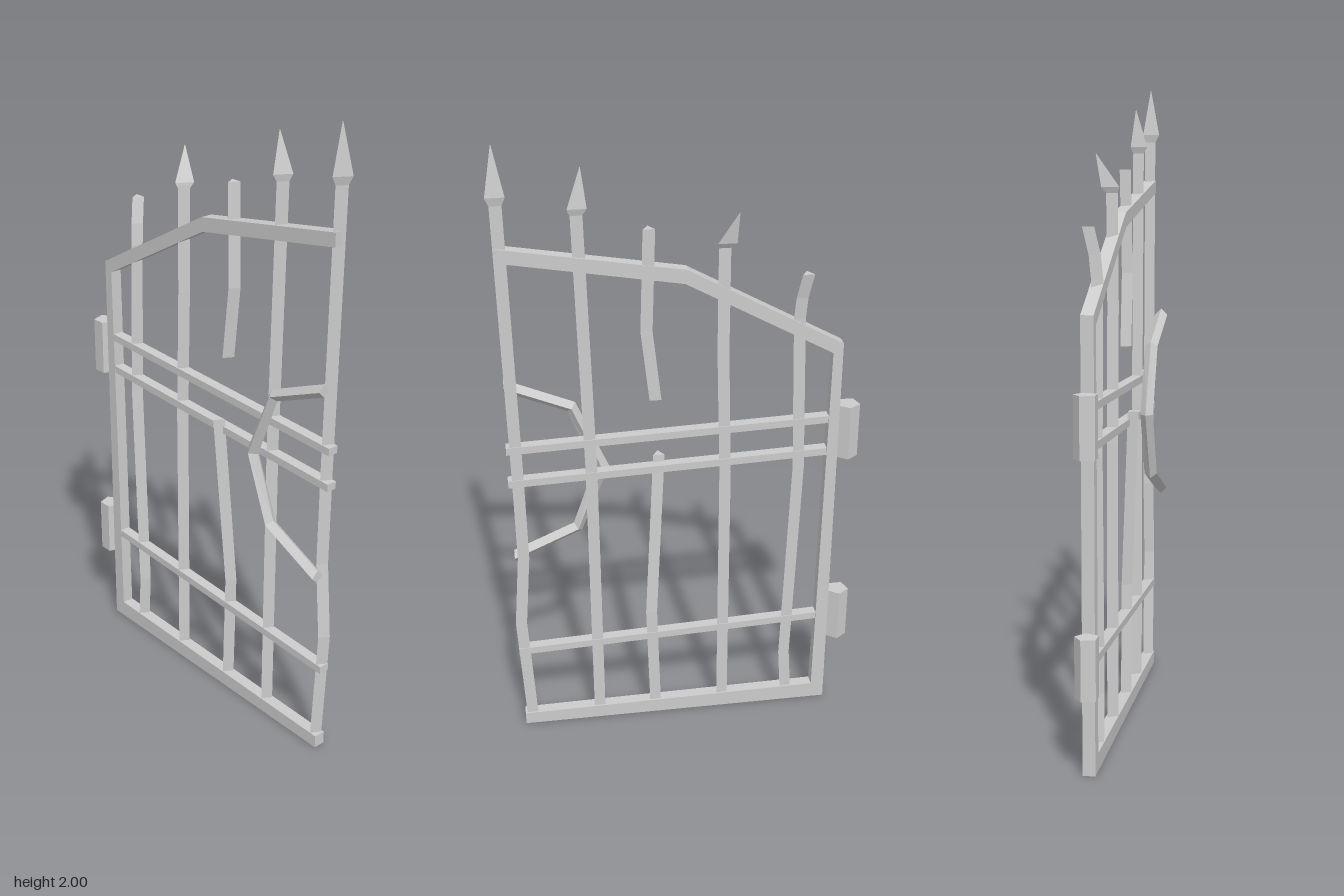
import * as THREE from 'three';

const material = new THREE.MeshStandardMaterial({ color: 0xcccccc, flatShading: true });

// Flat bar: an outline in the xy plane, given thickness in z
function plate(name, outline, z0, z1) {
  const shape = new THREE.Shape(outline.map(([x, y]) => new THREE.Vector2(x, y)));
  const geo = new THREE.ExtrudeGeometry(shape, { depth: z1 - z0, bevelEnabled: false });
  geo.translate(0, 0, z0);
  const mesh = new THREE.Mesh(geo, material);
  mesh.name = name;
  return mesh;
}

// Faceted rod: each station is { p: [x, y, z], r: radius, u: [x, y] side direction }
function sweep(name, sides, stations) {
  const pos = [], index = [];
  for (const { p, r, u = [1, 0] } of stations) {
    for (let j = 0; j < sides; j++) {
      const a = (j / sides) * Math.PI * 2;
      const s = Math.sin(a) * r;
      pos.push(p[0] + u[0] * s, p[1] + u[1] * s, p[2] + Math.cos(a) * r);
    }
  }
  const last = (stations.length - 1) * sides;
  for (let i = 0; i < last; i += sides) {
    for (let j = 0; j < sides; j++) {
      const a = i + j, b = i + ((j + 1) % sides);
      index.push(a, b, a + sides, b, b + sides, a + sides);
    }
  }
  for (let j = 1; j < sides - 1; j++) {
    index.push(0, j + 1, j, last, last + j, last + j + 1);
  }
  const indexed = new THREE.BufferGeometry();
  indexed.setAttribute('position', new THREE.Float32BufferAttribute(pos, 3));
  indexed.setIndex(index);
  const geo = indexed.toNonIndexed();
  geo.computeVertexNormals();
  const mesh = new THREE.Mesh(geo, material);
  mesh.name = name;
  return mesh;
}

const rod = (name, points) =>
  sweep(name, 3, points.map(([x, y, z = -0.01]) => ({ p: [x, y, z], r: 0.021 })));

// Spear head: flares from the rod, then tapers to its tip
function spike(base, tip) {
  const at = (t) => base.map((v, i) => v + (tip[i] - v) * t);
  return sweep('spearHead', 3, [
    { p: base, r: 0.021 },
    { p: at(0.15), r: 0.033 },
    { p: tip, r: 0.001 },
  ]);
}

export function createModel() {
  const gate = new THREE.Group();
  gate.name = 'brokenGate';

  // Outer frame: bottom bar, hinge post and sloping top, open on the latch side
  gate.add(plate('frame', [
    [0.535, 0], [0.535, 0.042], [-0.447, 0.055], [-0.463, 1.312],
    [-0.008, 1.566], [0.537, 1.662], [0.537, 1.704], [-0.013, 1.61],
    [-0.494, 1.342], [-0.49, 0],
  ], -0.026, 0.012));

  // Sagging cross rails
  for (const [left, right] of [[1.083, 1.049], [0.969, 0.933], [0.34, 0.297]]) {
    gate.add(plate('crossRail', [
      [-0.465, left - 0.012], [0.543, right - 0.012],
      [0.543, right + 0.012], [-0.465, left + 0.012],
    ], -0.023, 0.011));
  }

  // Bent upright rods
  gate.add(
    rod('bluntRod', [[-0.357, 0.04], [-0.347, 0.2], [-0.37, 0.92], [-0.355, 1.43],
      [-0.359, 1.5, -0.016], [-0.372, 1.58, -0.032]]),
    rod('secondRod', [[-0.135, 0.04], [-0.135, 0.92], [-0.124, 1.34], [-0.124, 1.68, -0.013]]),
    rod('brokenRodLower', [[0.093, 0.04], [0.103, 0.41], [0.071, 0.985, 0.016]]),
    rod('brokenRodUpper', [[0.083, 1.19], [0.108, 1.42], [0.098, 1.74, -0.015]]),
    rod('fourthRod', [[0.283, 0.04], [0.285, 0.97], [0.304, 1.81]]),
    rod('latchRod', [[0.51, 0.03], [0.53, 0.41], [0.51, 0.66], [0.513, 0.97], [0.528, 1.84]]),
  );

  // Spear heads
  gate.add(
    spike([-0.124, 1.67, -0.013], [-0.161, 1.785, -0.05]),
    spike([0.304, 1.79, -0.01], [0.288, 1.928, -0.012]),
    spike([0.528, 1.83, -0.01], [0.53, 2, -0.005]),
  );

  // Angled latch guard on the front, diamond in section
  gate.add(sweep('latchGuard', 4, [
    { p: [0.537, 1.247, 0.032], r: 0.021, u: [0, 1] },
    { p: [0.336, 1.162, 0.032], r: 0.021, u: [-0.6, 0.7] },
    { p: [0.248, 0.945, 0.032], r: 0.021, u: [-1.12, 0] },
    { p: [0.33, 0.732, 0.032], r: 0.021, u: [-0.6, -0.7] },
    { p: [0.537, 0.64, 0.032], r: 0.021, u: [0, -1] },
  ]));

  // Five-sided hinge barrels
  for (const y of [0.34, 1.035]) {
    const hinge = new THREE.Mesh(new THREE.CylinderGeometry(0.037, 0.037, 0.182, 5), material);
    hinge.name = 'hinge';
    hinge.rotation.y = Math.PI;
    hinge.position.set(-0.525, y, -0.004);
    gate.add(hinge);
  }

  return gate;
}
